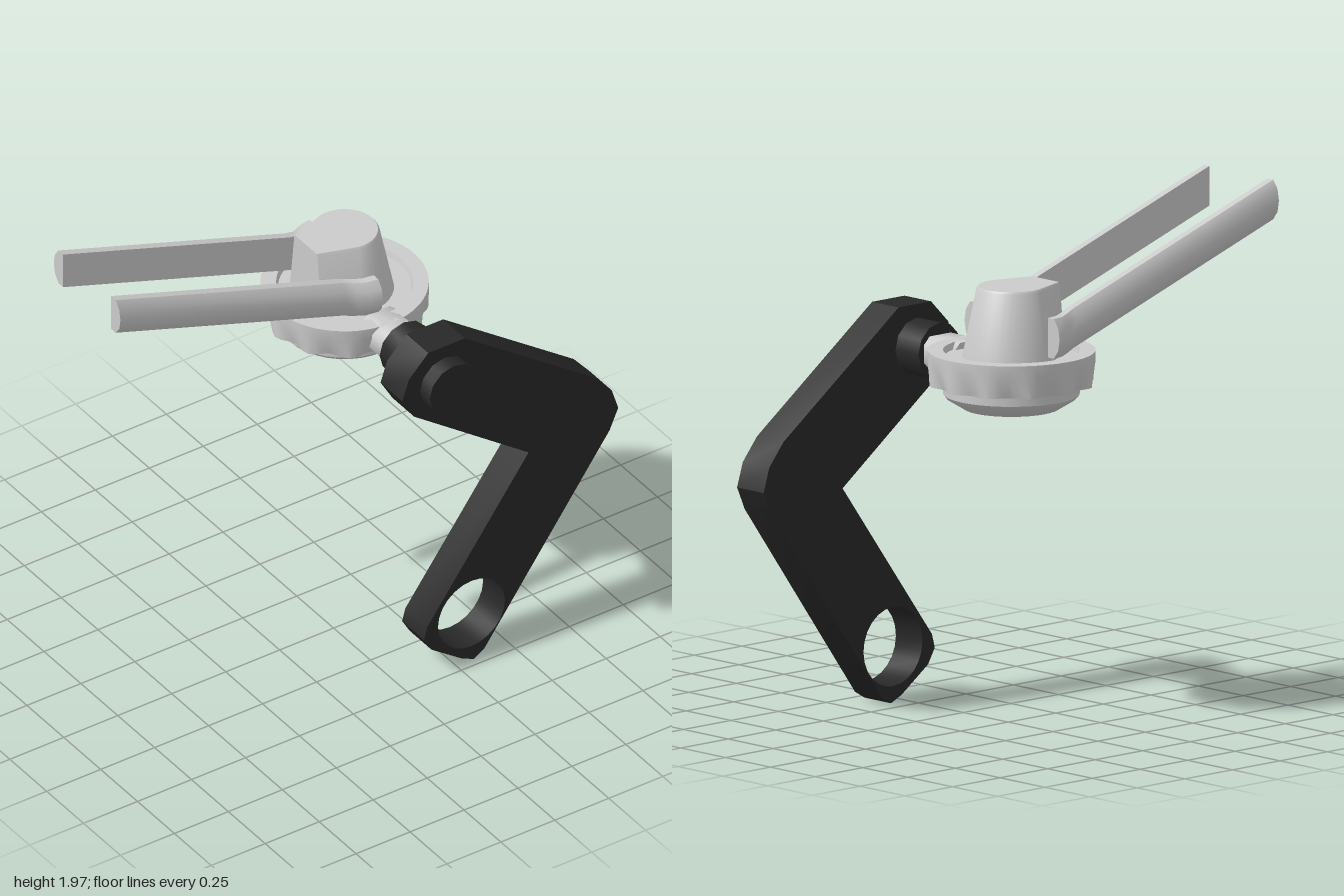
import * as THREE from 'three';
import { toCreasedNormals } from 'three/addons/utils/BufferGeometryUtils.js';

const light = new THREE.MeshStandardMaterial({ color: 0xcccccc });
const dark = new THREE.MeshStandardMaterial({ color: 0x282828 });
const HEAD_X = 0.193, HEAD_Z = -0.208;

function part(name, geometry, material, crease = 0.6) {
  const mesh = new THREE.Mesh(toCreasedNormals(geometry, crease), material);
  mesh.name = name;
  return mesh;
}

// Skin a list of closed rings (counter-clockwise about the travel direction) and cap both ends
function loft(rings) {
  const n = rings[0].length, last = (rings.length - 1) * n, index = [];
  for (let i = 0; i < rings.length - 1; i++) {
    for (let j = 0; j < n; j++) {
      const a = i * n + j, b = i * n + (j + 1) % n;
      index.push(a, b, b + n, a, b + n, a + n);
    }
  }
  for (let j = 1; j < n - 1; j++) {
    index.push(0, j + 1, j, last, last + j, last + j + 1);
  }
  const g = new THREE.BufferGeometry();
  g.setAttribute('position', new THREE.Float32BufferAttribute(rings.flat(2), 3));
  g.setIndex(index);
  return g;
}

function lathe(profile, segments) {
  return new THREE.LatheGeometry(profile.map(p => new THREE.Vector2(...p)), segments);
}

// Bent lever with a round hole in its lower end
function makeLever() {
  const shape = new THREE.Shape([
    [0.12, 1.54], [0.03, 1.45], [0, 1.36], [0.055, 1.265], [0.585, 0.875],
    [0.115, 0.24], [0.1, 0.185], [0.135, 0.125], [0.275, 0.025], [0.33, 0],
    [0.38, 0.03], [0.96, 0.825], [1, 0.915], [0.97, 1.01], [0.895, 1.1], [0.29, 1.54],
  ].map(p => new THREE.Vector2(...p)));
  const hole = new THREE.Path();
  hole.absarc(0.32, 0.22, 0.155, 0, Math.PI * 2, true);
  shape.holes.push(hole);
  const g = new THREE.ExtrudeGeometry(shape, { depth: 0.148, bevelEnabled: false, curveSegments: 12 });
  return part('lever', g.translate(0, 0, 0.318), dark);
}

// Round collar whose lower edge is scalloped for grip
function makeCollar() {
  const g = lathe([[0, 1.31], [0.262, 1.31], [0.322, 1.31], [0.322, 1.395],
    [0.322, 1.44], [0.262, 1.44], [0.255, 1.415], [0, 1.415]], 72);
  const p = g.attributes.position;
  for (let i = 0; i < p.count; i++) {
    const x = p.getX(i), z = p.getZ(i);
    if (p.getY(i) < 1.32 && Math.hypot(x, z) > 0.3) {
      const s = 1 - 0.045 * (1 - Math.cos(12 * Math.atan2(z, x)));
      p.setX(i, x * s);
      p.setZ(i, z * s);
    }
  }
  return part('collar', g, light);
}

// Tapered knob, round on one side and flat on the other
function makeKnob() {
  const ring = (y, r) => {
    const pts = [];
    for (let i = 0; i <= 20; i++) {
      const a = THREE.MathUtils.degToRad(-100 + i * 10);
      pts.push([r * Math.cos(a), y, -r * Math.sin(a)]);
    }
    pts.push([-0.18, y, -0.58 * r], [-0.18, y, 0.58 * r]);
    return pts;
  };
  return part('knob', loft([ring(1.41, 0.19), ring(1.68, 0.135), ring(1.69, 0.128)]), light);
}

// Long prong with a rounded outer side, flared where it meets the collar
function makeProng() {
  const section = [[0.0775, -0.032], [0.0775, 0], [0.045, 0.024], [0, 0.032],
    [-0.045, 0.024], [-0.0775, 0], [-0.0775, -0.032]];
  const stations = [[-1, 1.8875, 0.194], [0.05, 1.533, 0.194], [0.095, 1.518, 0.203],
    [0.14, 1.516, 0.225], [0.19, 1.516, 0.233]];
  const rings = stations.map(([x, y, z]) =>
    section.map(([dy, dz]) => [x - HEAD_X, y + dy, z + dz]));
  return part('prong', loft(rings), light, 0.8);
}

// Chamfered stem between the collar and the pivot
function makeStem() {
  const w = 0.085, h = 0.065, c = 0.03;
  const shape = new THREE.Shape([[w, h - c], [w - c, h], [c - w, h], [-w, h - c],
    [-w, c - h], [c - w, -h], [w - c, -h], [w, c - h]].map(p => new THREE.Vector2(...p)));
  const g = new THREE.ExtrudeGeometry(shape, { depth: 0.2, bevelEnabled: false });
  return part('stem', g.translate(HEAD_X, 1.375, 0.02), light, 0.9);
}

export function createModel() {
  const model = new THREE.Group();

  const pivot = new THREE.CylinderGeometry(0.112, 0.112, 0.34, 12);
  pivot.rotateX(Math.PI / 2).translate(0.195, 1.375, 0.36);
  model.add(makeLever(), part('pivot', pivot, dark), makeStem());

  const head = new THREE.Group();
  head.name = 'head';
  head.position.set(HEAD_X, 0, HEAD_Z);
  const base = lathe([[0, 1.215], [0.185, 1.215], [0.25, 1.255], [0.262, 1.27], [0.262, 1.32]], 36);
  head.add(makeCollar(), part('baseCap', base, light), makeKnob());
  for (const side of [1, -1]) {
    const prong = makeProng();
    prong.name = side > 0 ? 'frontProng' : 'backProng';
    prong.scale.z = side;
    head.add(prong);
  }
  model.add(head);
  return model;
}
